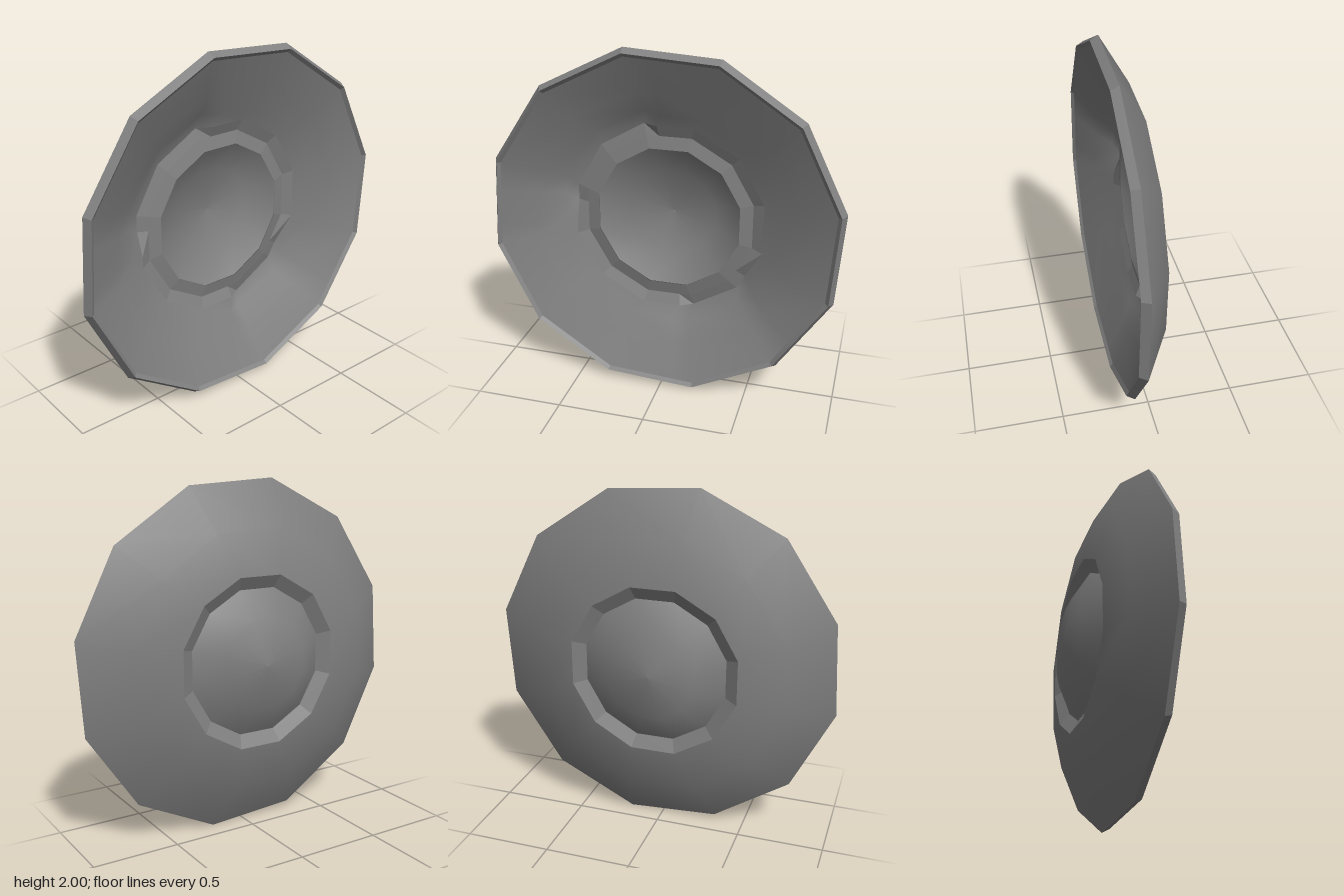
import * as THREE from 'three';

const RAD = Math.PI / 180;
const OFFSET = 11.4; // rotation of the twelve-sided outline
const SKEW = 3.6;    // extra twist of the central boss
const CORNERS = Array.from({ length: 12 }, (_, i) => OFFSET + i * 30);

const steel = new THREE.MeshStandardMaterial({ color: 0x808080, side: THREE.DoubleSide });
steel.name = 'grey steel';

// Scale that keeps in-between columns on the straight sides of the dodecagon
function sideFactor(deg) {
  const t = (((deg - OFFSET) % 30) + 30) % 30 - 15;
  return Math.cos(15 * RAD) / Math.cos(t * RAD);
}

// Lofts closed rings; profile(deg) lists [radius, z, twist]. Outer to inner faces +z.
function loft(name, columns, profile, flat = false) {
  const pos = [], index = [];
  const rows = profile(columns[0]).length, n = columns.length;
  columns.forEach((deg) => {
    const k = sideFactor(deg);
    for (const [r, z, twist = 0] of profile(deg)) {
      const a = (deg + twist) * RAD;
      pos.push(r * k * Math.cos(a), 1 + r * k * Math.sin(a), z);
    }
  });
  for (let i = 0; i < n; i++) {
    for (let j = 0; j < rows - 1; j++) {
      const a = i * rows + j, b = ((i + 1) % n) * rows + j;
      index.push(a, b, a + 1, b, b + 1, a + 1);
    }
  }
  let geo = new THREE.BufferGeometry();
  geo.setAttribute('position', new THREE.Float32BufferAttribute(pos, 3));
  geo.setIndex(index);
  if (flat) geo = geo.toNonIndexed();
  geo.computeVertexNormals();
  const mesh = new THREE.Mesh(geo, steel);
  mesh.name = name;
  return mesh;
}

export function createModel() {
  const shield = new THREE.Group();
  shield.name = 'roundShield';

  // Convex back plate
  shield.add(loft('backPlate', CORNERS, () => [[0.5, -0.085, SKEW], [0.755, -0.033], [1.02, 0.118]]));

  // Bevelled rim
  shield.add(loft('rim', CORNERS, () => [[1.02, 0.118], [0.995, 0.163]], true));
  shield.add(loft('rimLip', CORNERS, () => [[0.995, 0.163], [0.975, 0.145]], true));

  // Hollow lining with two sunken grips on opposite sides of the boss
  const pocket = (d) => (d > 100 && d < 173) || (d > 280 && d < 323);
  const columns = [...CORNERS, 93, 171, 185, 274, 321].sort((a, b) => a - b);
  const straight = (r) => -0.05 + (r - 0.5) * 0.41;
  shield.add(loft('lining', columns, (d) => {
    const deep = pocket(d);
    return [
      [0.975, 0.145],
      [0.77, deep ? 0.05 : straight(0.77)],
      [0.64, deep ? -0.035 : straight(0.64)],
      [0.565, deep ? -0.066 : straight(0.565), SKEW],
    ];
  }));
  // Walls leading from the lining up to the boss
  shield.add(loft('gripWall', columns, (d) => [
    [0.565, pocket(d) ? -0.066 : straight(0.565), SKEW],
    [0.5, -0.05, SKEW],
  ], true));

  // Sloped collar, seen from both sides
  shield.add(loft('collarFront', CORNERS, () => [[0.5, -0.05, SKEW], [0.425, -0.035, SKEW]], true));
  shield.add(loft('collarBack', CORNERS, () => [[0.425, -0.045, SKEW], [0.5, -0.085, SKEW]], true));

  // Thin domed boss, bulging to the back
  shield.add(loft('boss', CORNERS, () => [
    [0.001, -0.163, SKEW], [0.26, -0.137, SKEW], [0.425, -0.04, SKEW],
  ]));

  return shield;
}
